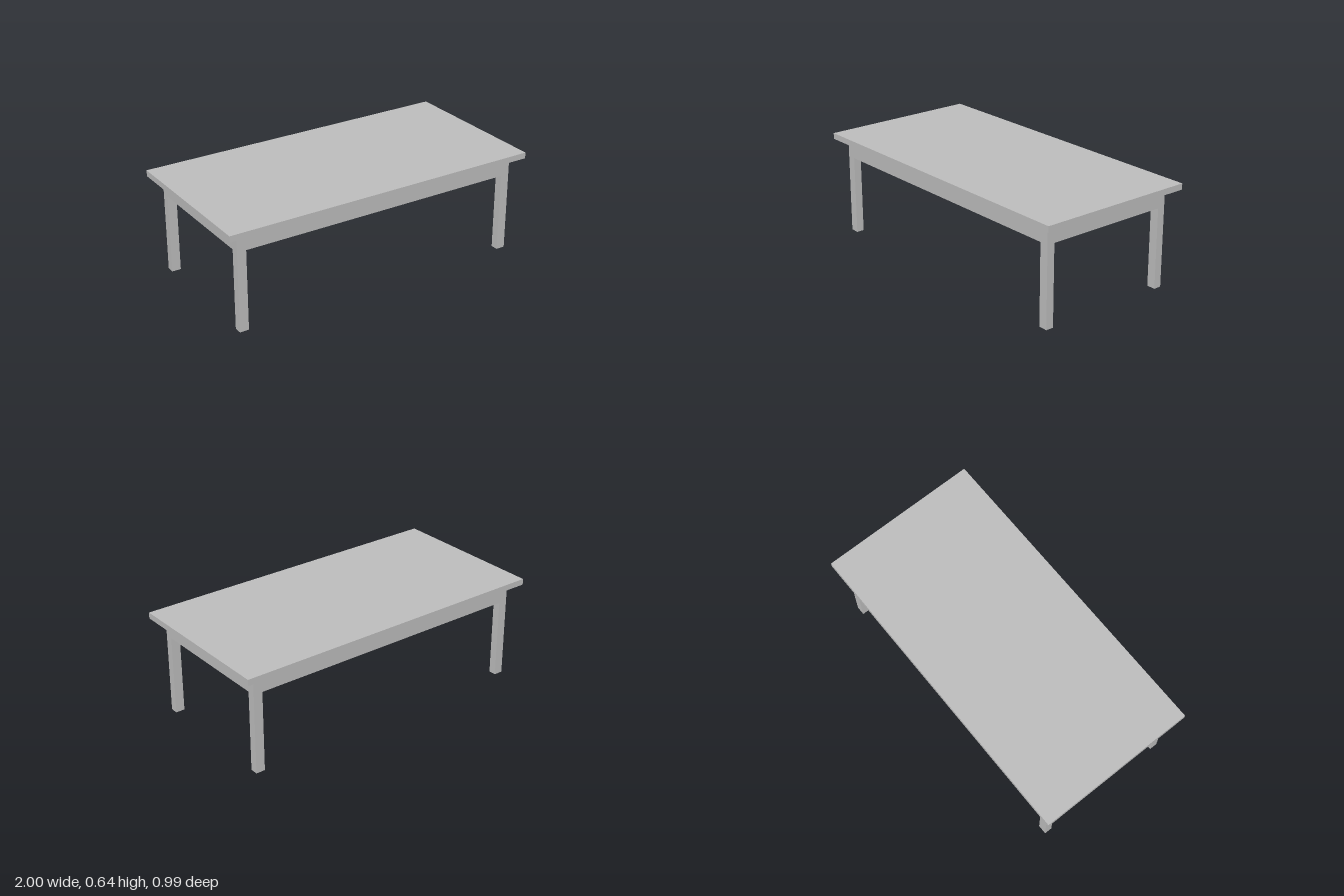
import * as THREE from 'three';

export function createModel() {
  const table = new THREE.Group();
  table.name = 'table';
  const grey = new THREE.MeshStandardMaterial({ color: 0xbcbcbc });
  grey.name = 'grey';

  // Box given by its extents along each axis
  const addBox = (name, [x0, x1], [y0, y1], [z0, z1]) => {
    const mesh = new THREE.Mesh(new THREE.BoxGeometry(x1 - x0, y1 - y0, z1 - z0), grey);
    mesh.name = name;
    mesh.position.set((x0 + x1) / 2, (y0 + y1) / 2, (z0 + z1) / 2);
    table.add(mesh);
  };
  const span = (sign, inner, outer) => (sign > 0 ? [inner, outer] : [-outer, -inner]);

  const underside = 0.6, apronBottom = 0.493, apronThickness = 0.025;
  const legX = [0.872, 0.928], legZ = [0.389, 0.437];

  // Flat top overhanging the frame
  addBox('tableTop', [-1, 1], [underside, 0.637], [-0.497, 0.497]);

  for (const s of [-1, 1]) {
    const side = s > 0 ? 'left' : 'right';
    const end = s > 0 ? 'front' : 'back';

    // Aprons sit flush with the outer leg faces
    addBox(end + 'Apron', [-legX[0], legX[0]], [apronBottom, underside],
      span(s, legZ[1] - apronThickness, legZ[1]));
    addBox(side + 'Apron', span(s, legX[1] - apronThickness, legX[1]),
      [apronBottom, underside], [-legZ[0], legZ[0]]);

    // Square corner legs
    for (const t of [-1, 1]) {
      addBox((t > 0 ? 'front' : 'back') + (s > 0 ? 'Left' : 'Right') + 'Leg',
        span(s, ...legX), [0, underside], span(t, ...legZ));
    }
  }
  return table;
}
